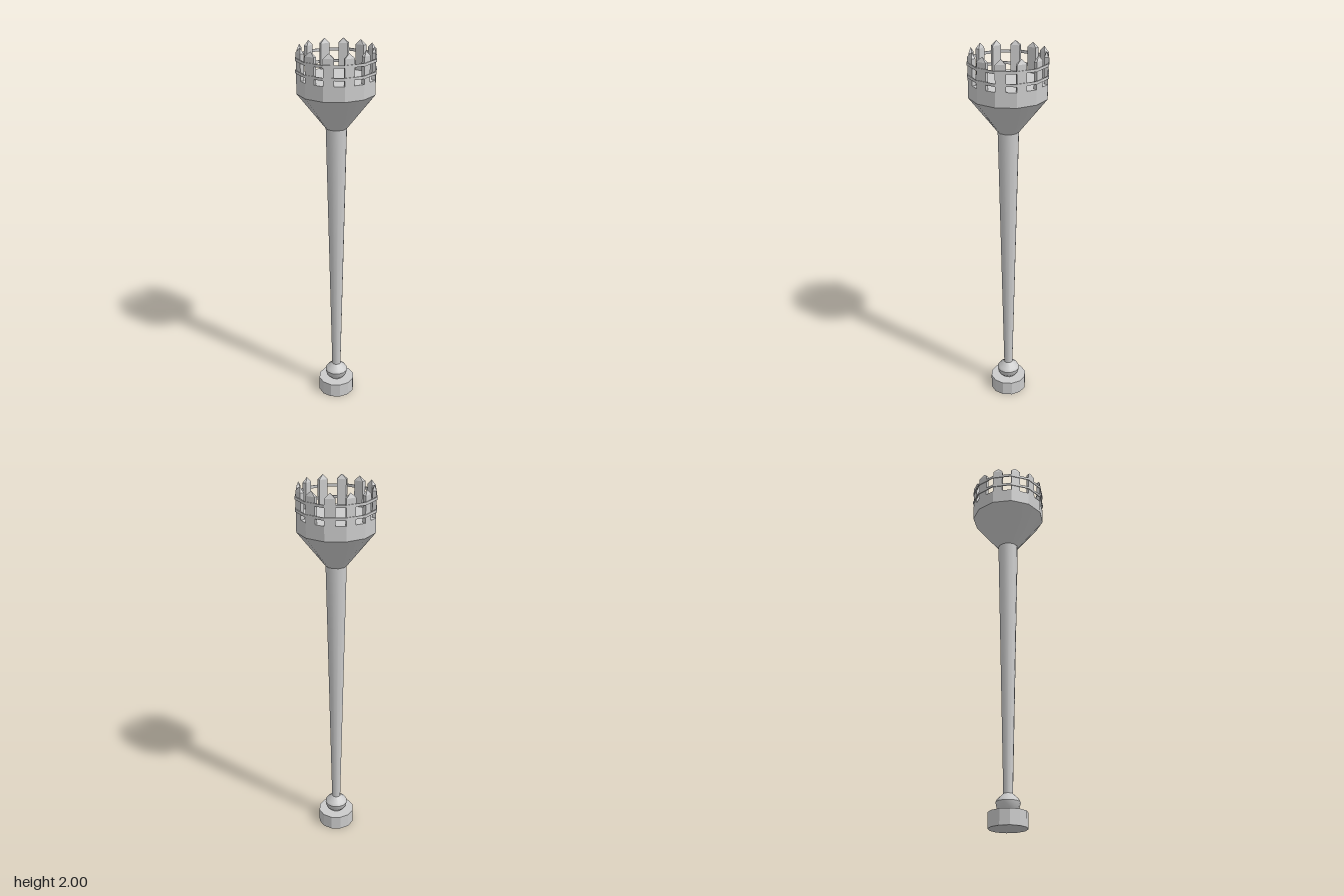
import * as THREE from 'three';
import { ConvexGeometry } from 'three/addons/geometries/ConvexGeometry.js';

const SIDES = 12;
const smooth = new THREE.MeshStandardMaterial({ color: 0xcccccc });
const flat = new THREE.MeshStandardMaterial({ color: 0xcccccc, flatShading: true });

export function createModel() {
  const group = new THREE.Group();
  const add = (name, geometry, material, parent = group) => {
    const mesh = new THREE.Mesh(geometry, material);
    mesh.name = name;
    parent.add(mesh);
    return mesh;
  };

  // Twelve-sided drum between two heights; open ones get no caps
  const drum = (name, r0, r1, y0, y1, material, open = false) => {
    const g = new THREE.CylinderGeometry(r1, r0, y1 - y0, SIDES, 1, open);
    add(name, g.translate(0, (y0 + y1) / 2, 0), material);
  };

  const lathe = (points) =>
    new THREE.LatheGeometry(points.map(([r, y]) => new THREE.Vector2(r, y)), SIDES);

  // Handle: foot, knob and tapering shaft
  drum('pommel', 0.1, 0.1, 0, 0.08, flat);
  add('knobLower', lathe([[0.038, 0.08], [0.056, 0.1], [0.063, 0.13]]), smooth);
  add('knobUpper', lathe([[0.063, 0.13], [0.055, 0.145], [0.025, 0.172]]), smooth);
  drum('shaft', 0.024, 0.055, 0.165, 1.59, smooth);

  // Head: flared cone and faceted bowl with a flat floor
  drum('headCone', 0.055, 0.2, 1.585, 1.77, smooth);
  drum('headBowl', 0.2, 0.2, 1.77, 1.845, flat);

  // Pointed posts, each on half of one side of the rim
  const posts = new THREE.Group();
  posts.name = 'posts';
  group.add(posts);
  const corner = (r) => new THREE.Vector3(r, 0, 0);
  const middle = (r) => {
    const a = Math.PI / SIDES, d = r * Math.cos(a);
    return new THREE.Vector3(d * Math.cos(a), 0, -d * Math.sin(a));
  };
  const plan = [corner(0.2), corner(0.18), middle(0.18), middle(0.2)];
  const tip = new THREE.Vector3();
  plan.forEach((p) => tip.addScaledVector(p, 0.25));
  const points = [tip.setY(2)];
  for (const p of plan) points.push(p.clone().setY(1.845), p.clone().setY(1.975));
  const postGeometry = new ConvexGeometry(points);
  for (let i = 0; i < SIDES; i++) {
    add('post', postGeometry, flat, posts).rotation.y = (i / SIDES) * Math.PI * 2;
  }

  // Thin hoops around the posts
  for (const y of [1.88, 1.94]) {
    const [r0, r1, h] = [0.199, 0.204, 0.007];
    add('hoop', lathe([[r1, y - h], [r1, y + h], [r0, y + h], [r0, y - h], [r1, y - h]]), flat);
  }

  return group;
}
